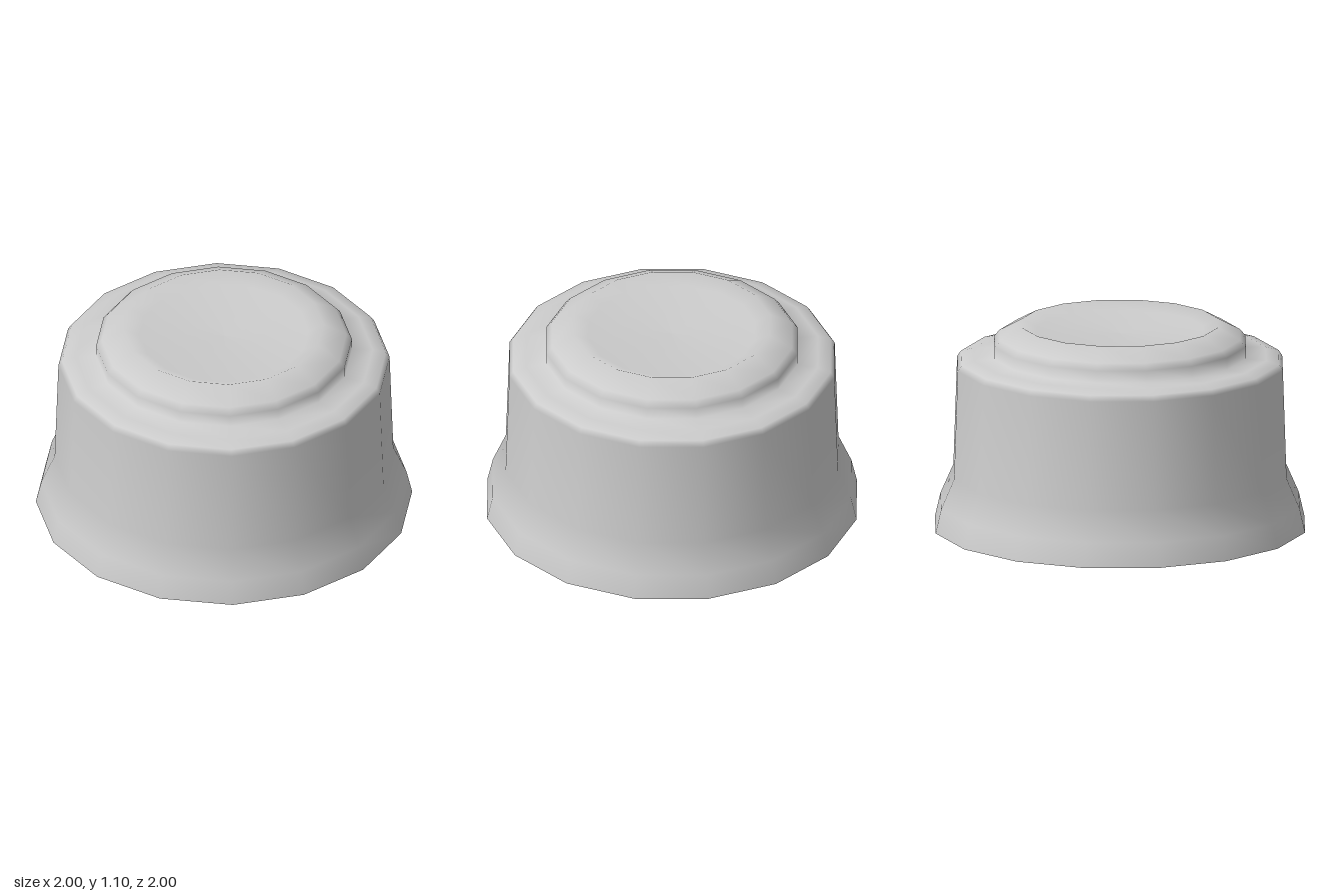
import * as THREE from 'three';

const SIDES = 16;

export function createModel() {
  const group = new THREE.Group();
  group.name = 'steppedCap';
  const material = new THREE.MeshStandardMaterial({ color: 0xcccccc, side: THREE.DoubleSide });

  // Open-bottomed shell, profile as [radius, height] from the base to the dished top
  const profile = [
    [1.0, 0], [0.97, 0.13], [0.9, 0.29],        // flared skirt
    [0.88, 0.88], [0.86, 0.91], [0.79, 0.93],   // wall and rounded shoulder
    [0.68, 0.935],                              // ledge
    [0.68, 1.0], [0.65, 1.035], [0.53, 1.1],    // raised button with bevelled rim
    [0.45, 1.06], [0, 1.045],                   // shallow dish
  ].map(([r, y]) => new THREE.Vector2(r, y));

  const shell = new THREE.Mesh(new THREE.LatheGeometry(profile, SIDES), material);
  shell.name = 'shell';
  group.add(shell);
  return group;
}
